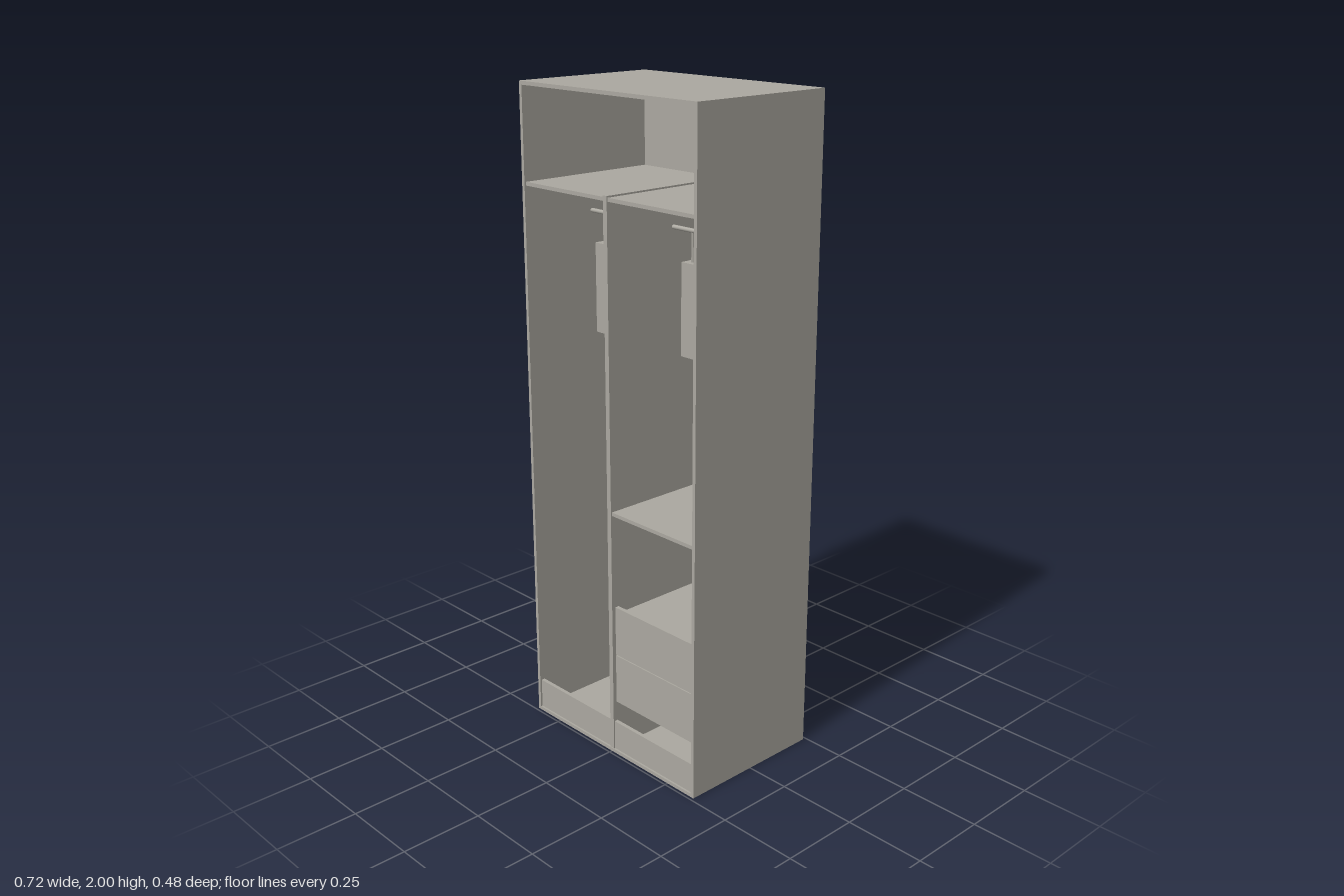
import * as THREE from 'three';

export function createModel() {
  const model = new THREE.Group();
  model.name = 'wardrobe';
  const warmGrey = new THREE.MeshStandardMaterial({ color: 0xaba8a0 });
  warmGrey.name = 'warmGrey';

  const add = (name, geometry, parent = model) => {
    const mesh = new THREE.Mesh(geometry, warmGrey);
    mesh.name = name;
    parent.add(mesh);
    return mesh;
  };
  // Box given by its lower and upper limits on each axis
  const box = (name, [x0, x1], [y0, y1], [z0, z1], parent) =>
    add(name, new THREE.BoxGeometry(x1 - x0, y1 - y0, z1 - z0), parent)
      .position.set((x0 + x1) / 2, (y0 + y1) / 2, (z0 + z1) / 2);

  const W = 0.36, D = 0.24, T = 0.011, H = 2;
  const inner = W - T, back = -D + T, half = 0.008;

  // Carcass
  for (const s of [-1, 1]) {
    const xs = s < 0 ? [-W, -inner] : [inner, W];
    box(s < 0 ? 'rightSide' : 'leftSide', xs, [0, H], [-D, D]);
  }
  box('topPanel', [-inner, inner], [H - T, H], [-D, D]);
  box('bottomPanel', [-inner, inner], [0, T], [-D, D]);
  box('backPanel', [-inner, inner], [T, H - T], [-D, back]);
  box('divider', [-half, half], [T, 1.72], [back, D - 0.002]);

  // The two bays: plinth, upper shelf and hanging rail
  const rail = (name, x, y) => {
    const mesh = add(name, new THREE.CylinderGeometry(0.0065, 0.0065, 0.313, 16));
    mesh.rotation.z = Math.PI / 2;
    mesh.position.set(x, y, 0);
  };
  for (const s of [-1, 1]) {
    const xs = s < 0 ? [-inner, -half] : [half, inner];
    box('plinth', xs, [T, 0.105], [D - 0.018, D - 0.006]);
    box('upperShelf', xs, [1.704, 1.715], [back, D - 0.006]);
    rail('hangingRail', s * 0.177, 1.606);
  }

  // Hanging garments
  for (const x of [-0.272, -0.21, -0.147, -0.087, 0.099, 0.175, 0.255]) {
    const garment = new THREE.Group();
    garment.name = 'garment';
    garment.position.x = x;
    model.add(garment);
    box('cloth', [-0.025, 0.025], [1.24, 1.516], [-0.02, 0.02], garment);
    add('hook', new THREE.CylinderGeometry(0.004, 0.004, 0.088, 10), garment)
      .position.y = 1.56;
  }

  // Left bay: middle shelf, trouser rail and drawers
  box('middleShelf', [half, inner], [0.784, 0.795], [back, D - 0.006]);
  rail('trouserRail', 0.177, 0.683);
  for (const y of [0.172, 0.332]) {
    const drawer = new THREE.Group();
    drawer.name = 'drawer';
    model.add(drawer);
    box('drawerFront', [0.011, 0.345], [y, y + 0.157], [D - 0.025, D - 0.012], drawer);
    box('drawerBody', [0.023, 0.333], [y + 0.012, y + 0.142], [-0.215, D - 0.025], drawer);
  }

  return model;
}
